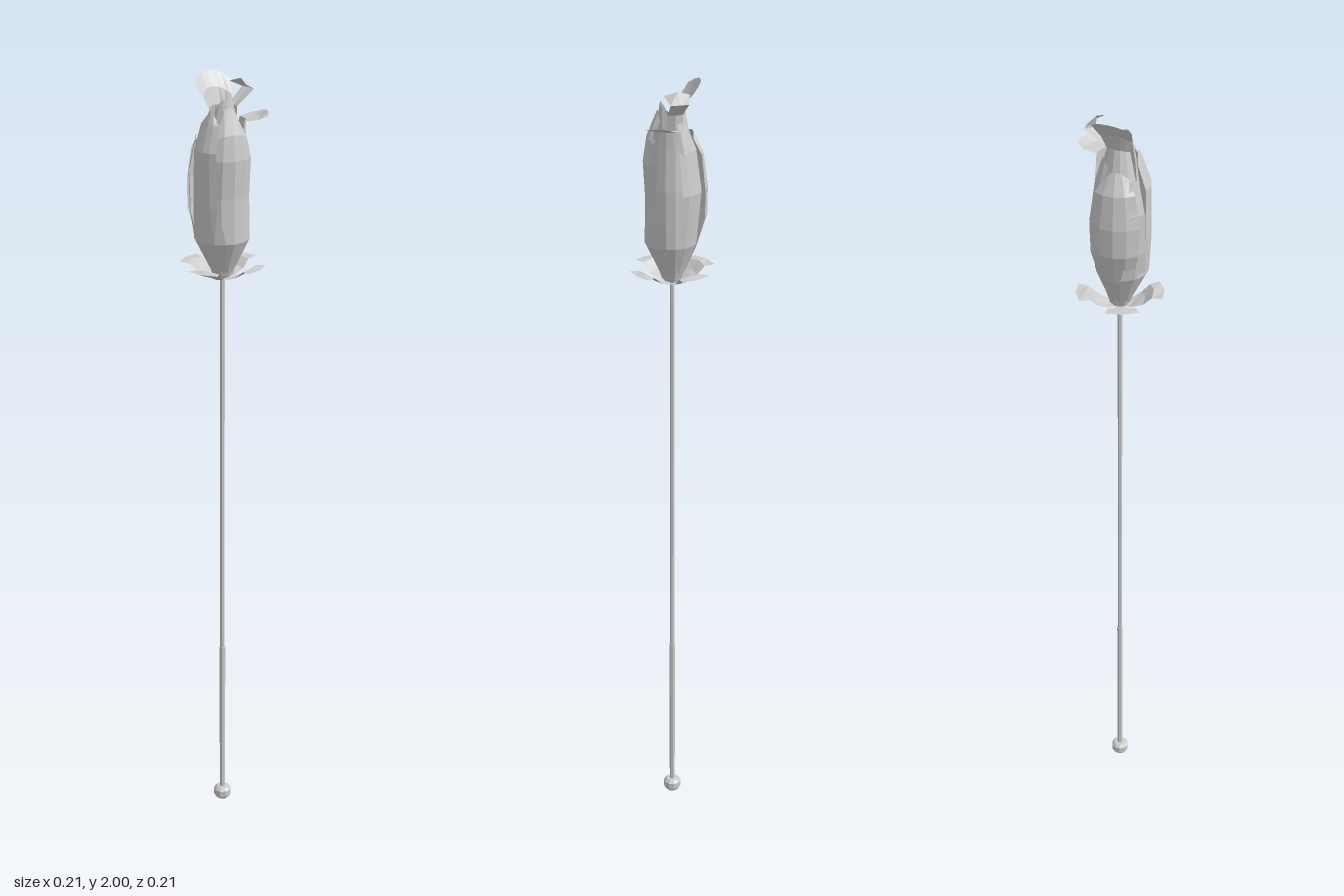
import * as THREE from 'three';

const material = new THREE.MeshStandardMaterial({ color: 0xcccccc, flatShading: true, side: THREE.DoubleSide });

// A petal is a curved sheet around the y axis.
// rows: [height, radius, half angle, edge droop], angles in degrees, 0 = front (+z), 90 = +x
function petal(name, angle, rows, cols = 4) {
  const pos = [], index = [];
  rows.forEach(([y, r, half, droop = 0], j) => {
    for (let i = 0; i <= cols; i++) {
      const t = (i / cols) * 2 - 1;
      const a = THREE.MathUtils.degToRad(angle + t * half);
      pos.push(r * Math.sin(a), y - droop * t * t, r * Math.cos(a));
      if (j && i) {
        const b = j * (cols + 1) + i, d = b - cols - 1;
        index.push(d - 1, d, b, d - 1, b, b - 1);
      }
    }
  });
  const geo = new THREE.BufferGeometry();
  geo.setAttribute('position', new THREE.Float32BufferAttribute(pos, 3));
  geo.setIndex(index);
  geo.computeVertexNormals();
  const mesh = new THREE.Mesh(geo, material);
  mesh.name = name;
  return mesh;
}

function lathe(name, profile, sides) {
  const mesh = new THREE.Mesh(
    new THREE.LatheGeometry(profile.map(([r, y]) => new THREE.Vector2(r, y)), sides), material);
  mesh.name = name;
  return mesh;
}

export function createModel() {
  const model = new THREE.Group();
  model.name = 'longStemRose';

  // Stem, thicker grip and knob at the foot
  model.add(
    lathe('stem', [[0.006, 0.46], [0.006, 1.52]], 8),
    lathe('grip', [[0.007, 0.03], [0.008, 0.48], [0, 0.48]], 8),
    lathe('knob', [[0, 0], [0.016, 0.004], [0.023, 0.013], [0.023, 0.031], [0.016, 0.038], [0, 0.04]], 10));

  // Four sepals set like a pinwheel
  for (let k = 0; k < 4; k++) {
    model.add(petal('sepal', 22.5 + 90 * k, [
      [1.508, 0.004, 45], [1.512, 0.03, 40], [1.528, 0.06, 30, 0.004],
      [1.547, 0.08, 24, 0.004], [1.545, 0.105, 22.5]], 2));
  }

  // Cup that joins the petals to the stem
  model.add(lathe('cup', [[0.006, 1.508], [0.025, 1.52], [0.04, 1.565], [0.048, 1.6]], 8));

  // Outer petals
  model.add(
    petal('rightPetal', 78, [
      [1.515, 0.02, 62], [1.61, 0.066, 58], [1.72, 0.064, 56], [1.81, 0.069, 50],
      [1.87, 0.06, 44, 0.01], [1.93, 0.035, 36, 0.02]]),
    petal('leftPetal', -82, [
      [1.515, 0.02, 40], [1.6, 0.058, 40], [1.68, 0.083, 42], [1.75, 0.084, 44],
      [1.83, 0.073, 40], [1.88, 0.05, 32, 0.015]]),
    petal('frontPetal', 12, [
      [1.515, 0.02, 50], [1.61, 0.068, 48], [1.7, 0.073, 30], [1.83, 0.072, 28],
      [1.89, 0.052, 32], [1.92, 0.042, 22, 0.02]]),
    petal('frontLeftPetal', -40, [
      [1.515, 0.02, 30], [1.61, 0.067, 30], [1.68, 0.078, 18], [1.78, 0.08, 14], [1.86, 0.062, 12]], 2),
    petal('backPetal', 152, [
      [1.515, 0.02, 48], [1.61, 0.058, 46], [1.75, 0.061, 44], [1.85, 0.056, 44],
      [1.895, 0.055, 32], [1.9, 0.088, 30], [1.912, 0.108, 20, 0.006]]),
    petal('backLeftPetal', 218, [
      [1.515, 0.02, 40], [1.61, 0.058, 36], [1.74, 0.07, 30], [1.84, 0.056, 34], [1.9, 0.04, 30, 0.02]]));

  // Inner petals, the tallest one flaring at the top
  model.add(
    petal('tallPetal', -95, [
      [1.53, 0.015, 70], [1.65, 0.038, 75], [1.85, 0.046, 75], [1.925, 0.03, 75, 0.01],
      [1.965, 0.043, 65, 0.02], [2, 0.066, 48, 0.02]], 6),
    petal('tallPetalFold', 180, [
      [1.88, 0.032, 45], [1.925, 0.035, 30], [1.96, 0.08, 16], [1.985, 0.055, 34, 0.01]], 2),
    petal('innerPetal', 75, [
      [1.53, 0.012, 90], [1.65, 0.035, 90], [1.82, 0.045, 85], [1.9, 0.036, 75, 0.01],
      [1.95, 0.028, 55, 0.025]], 6));
  return model;
}
